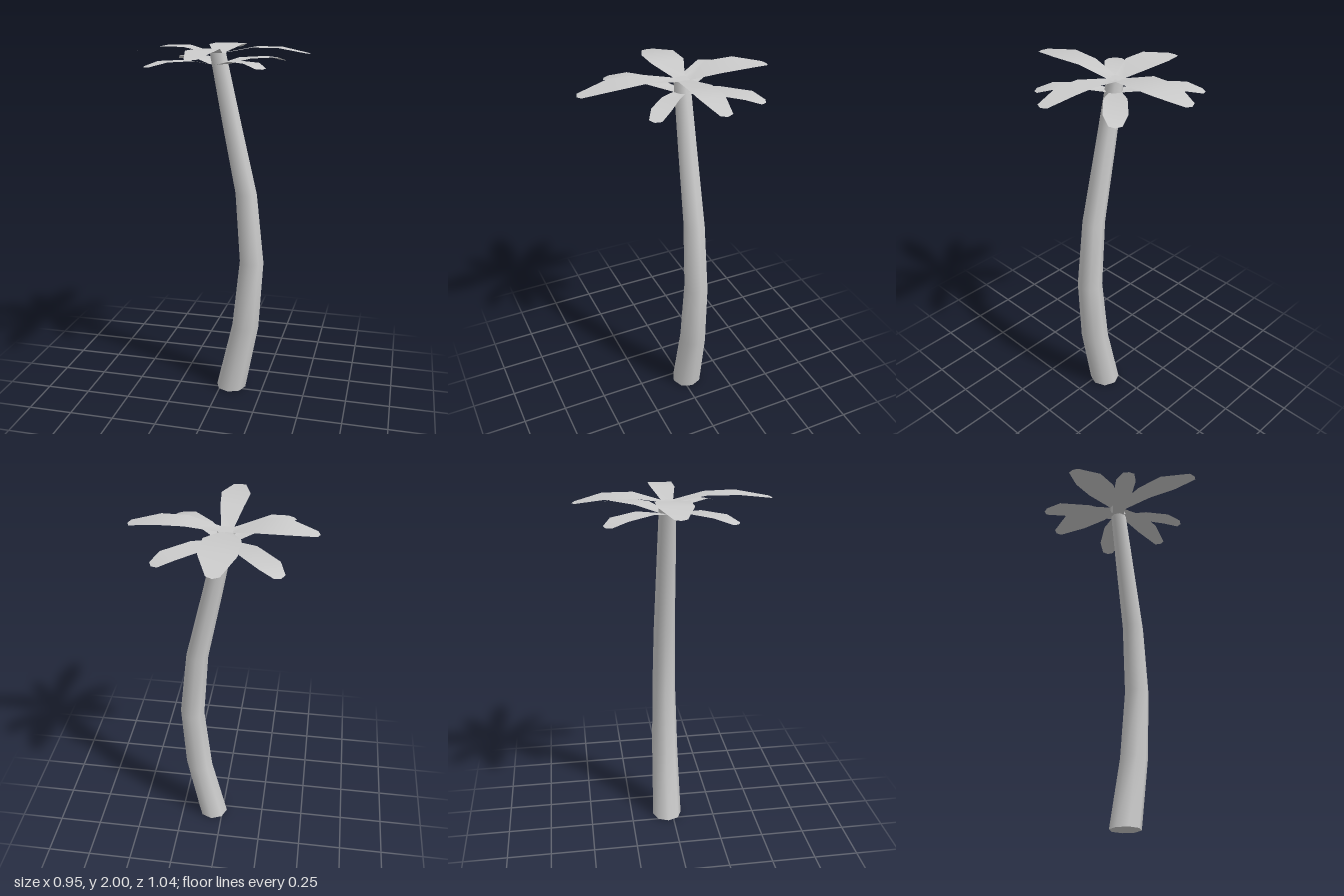
import * as THREE from 'three';
import { mergeVertices } from 'three/addons/utils/BufferGeometryUtils.js';

const CROWN_X = -0.022, CROWN_Z = -0.032, BASE = 0.0325;

// Curved trunk: rings of [height, centre x, radius]
function makeTrunk(material) {
  const rings = [
    [0, 0.06, 0.087], [0.4, 0.143, 0.078], [0.8, 0.176, 0.069],
    [1.2, 0.14, 0.061], [1.6, 0.054, 0.053], [1.967, -0.022, 0.045],
  ];
  const geometry = new THREE.CylinderGeometry(1, 1, 1, 8, rings.length - 1);
  const p = geometry.attributes.position;
  for (let i = 0; i < p.count; i++) {
    const [y, x, r] = rings[Math.round((p.getY(i) + 0.5) * (rings.length - 1))];
    p.setXYZ(i, x + p.getX(i) * r, y, CROWN_Z + p.getZ(i) * r);
  }
  // Bend the side normals only; the end caps keep theirs
  const capNormals = geometry.attributes.normal.clone();
  geometry.computeVertexNormals();
  const n = geometry.attributes.normal;
  const sideCount = 9 * rings.length;
  for (let i = sideCount; i < n.count; i++) n.setXYZ(i, 0, Math.sign(capNormals.getY(i)), 0);
  // Weld the normals along the seam
  for (let j = 0; j < rings.length; j++) {
    const a = j * 9, b = a + 8;
    const v = new THREE.Vector3().fromBufferAttribute(n, a)
      .add(new THREE.Vector3().fromBufferAttribute(n, b)).normalize();
    n.setXYZ(a, v.x, v.y, v.z);
    n.setXYZ(b, v.x, v.y, v.z);
  }
  const trunk = new THREE.Mesh(geometry, material);
  trunk.name = 'trunk';
  return trunk;
}

// A layer of four fronds sharing a small square centre.
// Each frond: [angle from +x towards +z, mid distance, mid half width,
//              shoulder distance, shoulder half width, tip distance]
function makeFrondLayer(name, y, rise, fronds, material) {
  const positions = [], indices = [];
  const centre = fronds.map(([angle]) => {
    const a = Math.round(angle / 45) * Math.PI / 4 + Math.PI / 4;
    const r = BASE * Math.SQRT2;
    return [r * Math.cos(a), y, r * Math.sin(a)];
  });
  centre.forEach((c) => positions.push(...c));
  indices.push(0, 2, 1, 0, 3, 2);

  fronds.forEach(([angle, midD, midW, shoulderD, shoulderW, tipD], k) => {
    const a = angle * Math.PI / 180, c = Math.cos(a), s = Math.sin(a);
    const start = positions.length / 3;
    // Root edge joins the centre square
    positions.push(...centre[(k + 3) % 4], ...centre[k]);
    const rows = [
      [midD, midW, y + rise], [shoulderD, shoulderW, y + rise], [tipD, BASE, y + 0.005],
    ];
    for (const [d, w, h] of rows) {
      for (const side of [-w, w]) positions.push(d * c - side * s, h, d * s + side * c);
    }
    const apex = tipD + 0.013;
    positions.push(apex * c, y + 0.002, apex * s);
    for (let r = 0; r < 3; r++) {
      const i = start + r * 2;
      indices.push(i, i + 1, i + 2, i + 1, i + 3, i + 2);
    }
    indices.push(start + 6, start + 7, start + 8);
  });

  let geometry = new THREE.BufferGeometry();
  geometry.setAttribute('position', new THREE.Float32BufferAttribute(positions, 3));
  geometry.setIndex(indices);
  geometry = mergeVertices(geometry, 1e-4);
  geometry.computeVertexNormals();
  const layer = new THREE.Mesh(geometry, material);
  layer.name = name;
  layer.position.set(CROWN_X, 0, CROWN_Z);
  return layer;
}

export function createModel() {
  const bark = new THREE.MeshStandardMaterial({ color: 0xcccccc });
  const leaf = new THREE.MeshStandardMaterial({ color: 0xcccccc, side: THREE.DoubleSide });
  const palm = new THREE.Group();
  palm.name = 'palmTree';
  palm.add(
    makeTrunk(bark),
    // Fronds along the axes
    makeFrondLayer('upperFronds', 1.967, 0.033, [
      [0, 0.2, 0.064, 0.335, 0.066, 0.482],
      [90, 0.197, 0.06, 0.362, 0.076, 0.537],
      [180, 0.17, 0.09, 0.3, 0.09, 0.44],
      [270, 0.17, 0.092, 0.33, 0.092, 0.475],
    ], leaf),
    // Fronds on the diagonals
    makeFrondLayer('lowerFronds', 1.906, 0.027, [
      [43, 0.17, 0.045, 0.31, 0.05, 0.39],
      [136, 0.17, 0.054, 0.328, 0.057, 0.422],
      [229, 0.17, 0.062, 0.355, 0.064, 0.435],
      [316, 0.17, 0.058, 0.35, 0.06, 0.426],
    ], leaf),
  );
  return palm;
}
